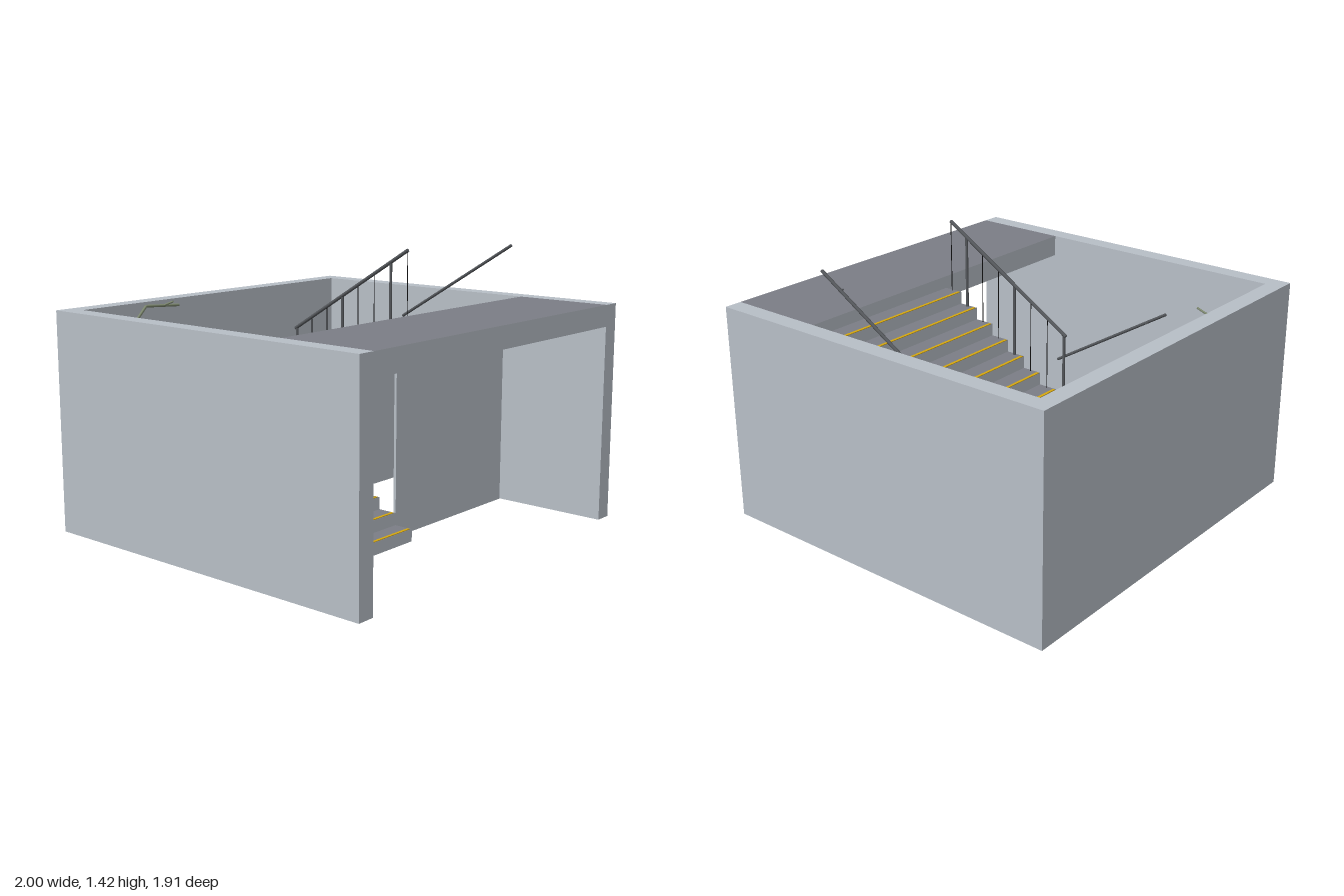
import * as THREE from 'three';

export function createModel() {
  const model = new THREE.Group();
  const mat = (name, color) => {
    const m = new THREE.MeshStandardMaterial({ color });
    m.name = name;
    return m;
  };
  const concrete = mat('pale concrete', 0xb8bfc7);
  const floor = mat('grey floor', 0x7c7e86);
  const yellow = mat('yellow nosing', 0xd6a810);
  const steel = mat('dark steel', 0x55585c);
  const black = mat('black', 0x111112);
  const leaf = mat('leaf green', 0xa3bd93);
  const olive = mat('olive stem', 0x7f8a70);
  const paved = [concrete, concrete, floor, concrete, concrete, concrete];

  // Box given by its limits on each axis
  const box = (name, m, x0, x1, y0, y1, z0, z1, parent = model) => {
    const mesh = new THREE.Mesh(new THREE.BoxGeometry(x1 - x0, y1 - y0, z1 - z0), m);
    mesh.position.set((x0 + x1) / 2, (y0 + y1) / 2, (z0 + z1) / 2);
    mesh.name = name;
    parent.add(mesh);
    return mesh;
  };
  // Round bar between two points
  const rod = (name, m, a, b, r, parent = model) => {
    const p = new THREE.Vector3(...a), q = new THREE.Vector3(...b);
    const d = q.clone().sub(p);
    const mesh = new THREE.Mesh(new THREE.CylinderGeometry(r, r, d.length(), 8), m);
    mesh.position.copy(p).add(q).multiplyScalar(0.5);
    mesh.quaternion.setFromUnitVectors(new THREE.Vector3(0, 1, 0), d.normalize());
    mesh.name = name;
    parent.add(mesh);
    return mesh;
  };
  const group = (name) => {
    const g = new THREE.Group();
    g.name = name;
    model.add(g);
    return g;
  };

  const H = 1.11, Z = 0.955, IN = 0.91;
  const RISE = H / 18, FRONT = 0.45, BACK = -0.36, RUN = (FRONT - BACK) / 8;

  // Stairwell walls
  for (const s of [-1, 1]) {
    box(s > 0 ? 'leftWall' : 'rightWall', concrete, s > 0 ? IN : -1, s > 0 ? 1 : -IN, 0, H, -Z, Z);
  }
  box('backWall', concrete, -IN, IN, 0, H, -Z, -0.865);

  // Upper floor and half landing
  box('upperFloor', paved, -IN, IN, 1.0, H, FRONT, Z);
  box('halfLanding', paved, -IN, IN, 0, H / 2, -0.865, BACK);

  // Solid lower flight and stepped upper flight, each tread with a nosing strip
  const lower = group('lowerFlight'), upper = group('upperFlight');
  for (let i = 0; i < 8; i++) {
    const yl = RISE * (i + 1), zl = FRONT - RUN * i;
    box('lowerStep', paved, -IN, 0, 0, yl, zl - RUN, zl, lower);
    box('lowerNosing', yellow, -0.905, -0.01, yl, yl + 0.003, zl - 0.02, zl - 0.005, lower);
    const yu = H / 2 + RISE * (i + 1), zu = BACK + RUN * i;
    box('upperStep', paved, 0, IN, yu - RISE * 1.5, yu, zu, zu + RUN, upper);
    box('upperNosing', yellow, 0.01, 0.9, yu, yu + 0.003, zu, zu + 0.014, upper);
  }
  box('supportWall', concrete, 0, 0.905, 0, 0.957, 0.335, 0.349);

  // Wall handrails with brackets
  const SLOPE = RISE / RUN;
  for (const s of [-1, 1]) {
    const rail = group(s > 0 ? 'upperWallRail' : 'lowerWallRail');
    const x = s * 0.883;
    const yAt = (z) => (s > 0 ? 1.375 + (z - 0.4) * SLOPE : 0.395 + (0.4 - z) * SLOPE);
    rod('handrail', steel, [x, yAt(-0.31), -0.31], [x, yAt(0.4), 0.4], 0.008, rail);
    for (const z of [-0.2, 0.29]) {
      rod('bracket', steel, [s * 0.862, yAt(z) - 0.004, z], [x, yAt(z) - 0.004, z], 0.004, rail);
    }
  }

  // Centre balustrade: handrail, posts on every third tread, slim bars between
  const balustrade = group('centreBalustrade');
  const topAt = (z) => 1.41 + (z - 0.4) * SLOPE;
  rod('handrail', steel, [0.012, topAt(-0.32), -0.32], [0.012, topAt(0.4), 0.4], 0.009, balustrade);
  for (let i = 0; i < 8; i++) {
    const z = BACK + RUN * (i + 0.5), y = H / 2 + RISE * (i + 1);
    const post = i % 3 === 0;
    rod(post ? 'post' : 'bar', post ? steel : black, [0.012, y, z], [0.012, topAt(z), z],
      post ? 0.007 : 0.002, balustrade);
  }

  // Planter trough with bed
  const planter = group('planter');
  box('trough', black, -0.84, -0.15, H / 2, 0.72, -0.85, -0.705, planter);
  box('bed', floor, -0.83, -0.16, 0.72, 0.723, -0.84, -0.715, planter);

  // Faceted shrubs
  for (let i = 0; i < 5; i++) {
    const g = new THREE.IcosahedronGeometry(0.053, 0).toNonIndexed();
    g.computeVertexNormals();
    const bush = new THREE.Mesh(g, leaf);
    bush.position.set(-0.74 + i * 0.123, 0.778, -0.78);
    bush.rotation.set(i * 0.35, i * 0.9, 0);
    bush.name = 'shrub';
    planter.add(bush);
  }

  // Slim bent rail on the back wall with a small bracket
  const wallRail = group('backWallRail');
  rod('slopingRail', olive, [-0.73, 0.88, -0.855], [-0.52, 1.09, -0.855], 0.007, wallRail);
  rod('levelRail', olive, [-0.52, 1.09, -0.855], [-0.3, 1.075, -0.855], 0.007, wallRail);
  rod('railBracket', olive, [-0.4, 1.083, -0.855], [-0.4, 1.108, -0.785], 0.005, wallRail);

  return model;
}
